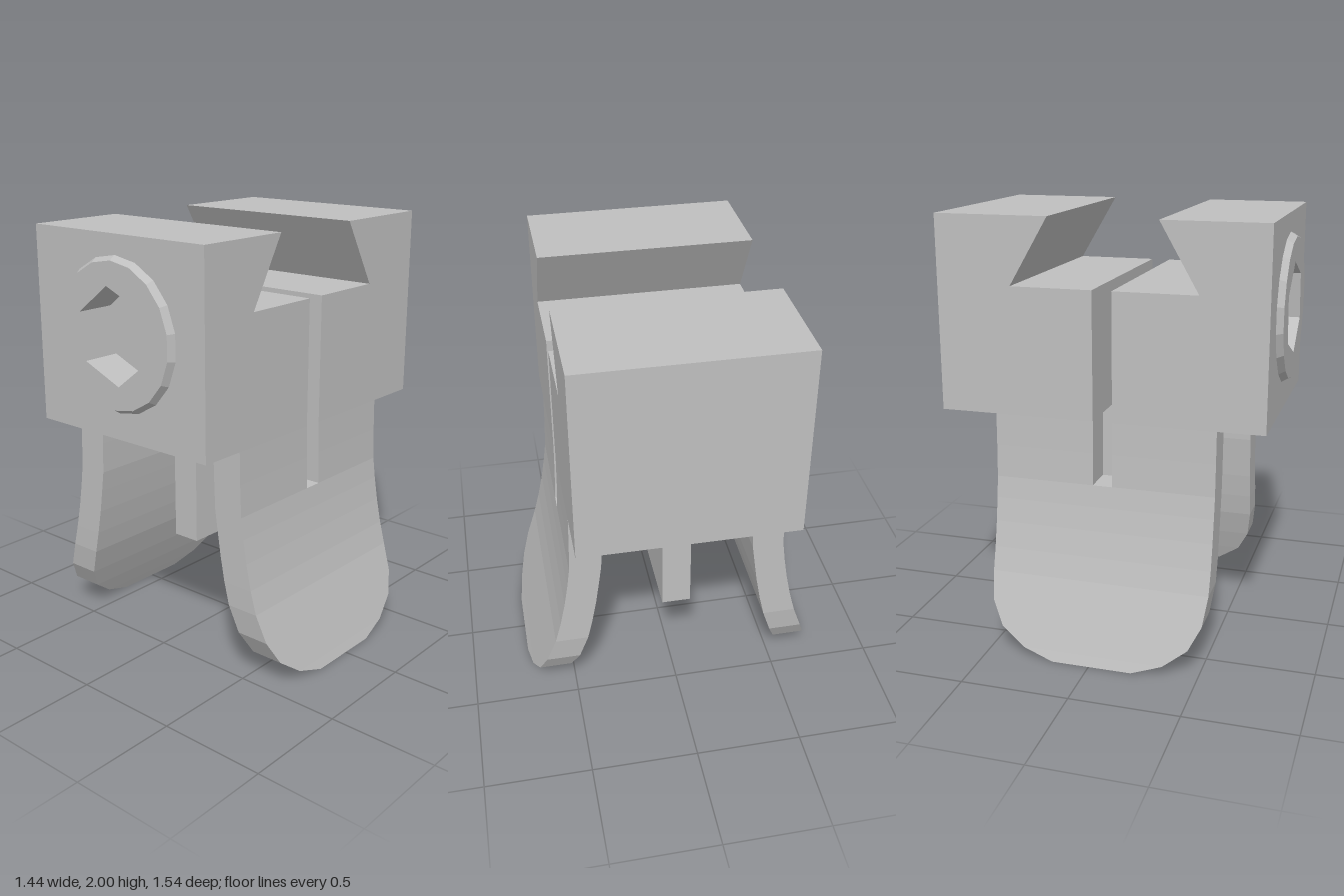
import * as THREE from 'three';

const grey = new THREE.MeshStandardMaterial({ color: 0xbfbfbf });
grey.name = 'plain grey';

function add(parent, name, geometry) {
  const mesh = new THREE.Mesh(geometry, grey);
  mesh.name = name;
  parent.add(mesh);
  return mesh;
}

// Side profile of [z, y] points, extruded across x and centred on it
function sideExtrude(points, width) {
  const shape = new THREE.Shape(points.map(([z, y]) => new THREE.Vector2(-z, y)));
  const geo = new THREE.ExtrudeGeometry(shape, { depth: width, bevelEnabled: false });
  return geo.translate(0, 0, -width / 2).rotateY(Math.PI / 2);
}

// Stack of rectangles [y, x0, x1, z0, z1], listed from bottom to top, with flat faces
function loft(rows) {
  const pos = [];
  const idx = [];
  rows.forEach(([y, x0, x1, z0, z1], r) => {
    pos.push(x0, y, z1, x1, y, z1, x1, y, z0, x0, y, z0);
    if (r === 0) return;
    const a = (r - 1) * 4, b = r * 4;
    for (let i = 0; i < 4; i++) {
      const j = (i + 1) % 4;
      idx.push(a + i, a + j, b + j, a + i, b + j, b + i);
    }
  });
  const t = (rows.length - 1) * 4;
  idx.push(0, 3, 2, 0, 2, 1, t, t + 1, t + 2, t, t + 2, t + 3);
  const geo = new THREE.BufferGeometry();
  geo.setAttribute('position', new THREE.Float32BufferAttribute(pos, 3));
  geo.setIndex(idx);
  const flat = geo.toNonIndexed();
  flat.computeVertexNormals();
  return flat;
}

export function createModel() {
  const model = new THREE.Group();
  model.name = 'slottedClamp';
  const boltY = 1.567;
  const socketFloor = 0.59;
  const slotBack = -0.04, slotFront = 0.05, slotBottom = 0.8;

  // Two jaws with a dovetail groove between them
  add(model, 'frontJaw', sideExtrude([
    [slotFront, 1.1], [socketFloor, 1.1], [socketFloor, 2], [0.26, 2], [0.437, 1.69], [slotFront, 1.69],
  ], 1));
  add(model, 'backJaw', sideExtrude([
    [slotBack, 1.1], [slotBack, 1.69], [-0.42, 1.69], [-0.238, 2], [-0.77, 2], [-0.77, 1.1],
  ], 1));

  // Front of the jaw, bored for the bolt
  const face = new THREE.Shape([[-0.5, 1.1], [0.5, 1.1], [0.5, 2], [-0.5, 2]].map((p) => new THREE.Vector2(...p)));
  face.holes.push(new THREE.Path().absarc(0, boltY, 0.26, 0, Math.PI * 2, true));
  add(model, 'frontJawFace', new THREE.ExtrudeGeometry(face, { depth: 0.74 - socketFloor, bevelEnabled: false })
    .translate(0, 0, socketFloor));

  // Bolt head with tapered rim and hexagonal socket
  const bolt = new THREE.Group();
  bolt.name = 'bolt';
  bolt.position.set(0, boltY, 0);
  model.add(bolt);
  const ring = (n, r, start) => Array.from({ length: n }, (_, i) => {
    const a = start + (i / n) * Math.PI * 2;
    return new THREE.Vector2(Math.cos(a) * r, Math.sin(a) * r);
  });
  const head = new THREE.Shape(ring(18, 0.325, Math.PI / 2));
  const hex = ring(6, 0.217, THREE.MathUtils.degToRad(97.6));
  head.holes.push(new THREE.Path(hex));
  add(bolt, 'boltFace', new THREE.ShapeGeometry(head).translate(0, 0, 0.77));
  const rim = new THREE.CylinderGeometry(0.325, 0.344, 0.03, 18, 1, true).toNonIndexed();
  rim.rotateX(Math.PI / 2).rotateZ(-Math.PI / 2 + Math.PI / 2 + Math.PI);
  rim.computeVertexNormals();
  add(bolt, 'boltRim', rim.translate(0, 0, 0.755));
  // Socket walls face inward
  const wall = [];
  hex.forEach((p, i) => {
    const q = hex[(i + 1) % 6];
    const f = 0.77, b = socketFloor;
    wall.push(p.x, p.y, f, q.x, q.y, f, q.x, q.y, b, p.x, p.y, f, q.x, q.y, b, p.x, p.y, b);
  });
  const socket = new THREE.BufferGeometry();
  socket.setAttribute('position', new THREE.Float32BufferAttribute(wall, 3));
  socket.computeVertexNormals();
  add(bolt, 'boltSocket', socket);

  // Splayed legs with rounded feet: [y, inner x, outer x, back z, front z]
  const legRows = [
    [0, 0.572, 0.722, -0.175, 0.2],
    [0.045, 0.553, 0.705, -0.32, 0.34],
    [0.125, 0.52, 0.677, -0.435, 0.45],
    [0.23, 0.48, 0.64, -0.49, 0.505],
    [0.36, 0.437, 0.594, -0.505, 0.523],
    [0.47, 0.412, 0.565, -0.505, 0.525],
    [0.59, 0.39, 0.54, -0.505, 0.525],
    [0.7, 0.374, 0.522, -0.505, 0.525],
    [slotBottom, 0.36, 0.509, -0.505, 0.525],
    [0.95, 0.354, 0.503, -0.505, 0.525],
    [1.1, 0.35, 0.5, -0.505, 0.525],
  ];
  for (const side of [1, -1]) {
    const leg = new THREE.Group();
    leg.name = side > 0 ? 'leftLeg' : 'rightLeg';
    model.add(leg);
    const rows = legRows.map(([y, i, o, b, f]) => (side > 0 ? [y, i, o, b, f] : [y, -o, -i, b, f]));
    const upper = rows.slice(8);
    add(leg, 'lowerLeg', loft(rows.slice(0, 9)));
    add(leg, 'upperLegFront', loft(upper.map(([y, a, c, , f]) => [y, a, c, slotFront, f])));
    add(leg, 'upperLegBack', loft(upper.map(([y, a, c, b]) => [y, a, c, b, slotBack])));
  }

  // Slotted centre fin under the jaws
  add(model, 'centreFin', sideExtrude([
    [0.33, 0.5], [0.33, 1.07], [0.37, 1.1], [slotFront, 1.1], [slotFront, slotBottom],
    [slotBack, slotBottom], [slotBack, 1.1], [-0.48, 1.1], [-0.48, 0.5],
  ], 0.136));

  return model;
}
